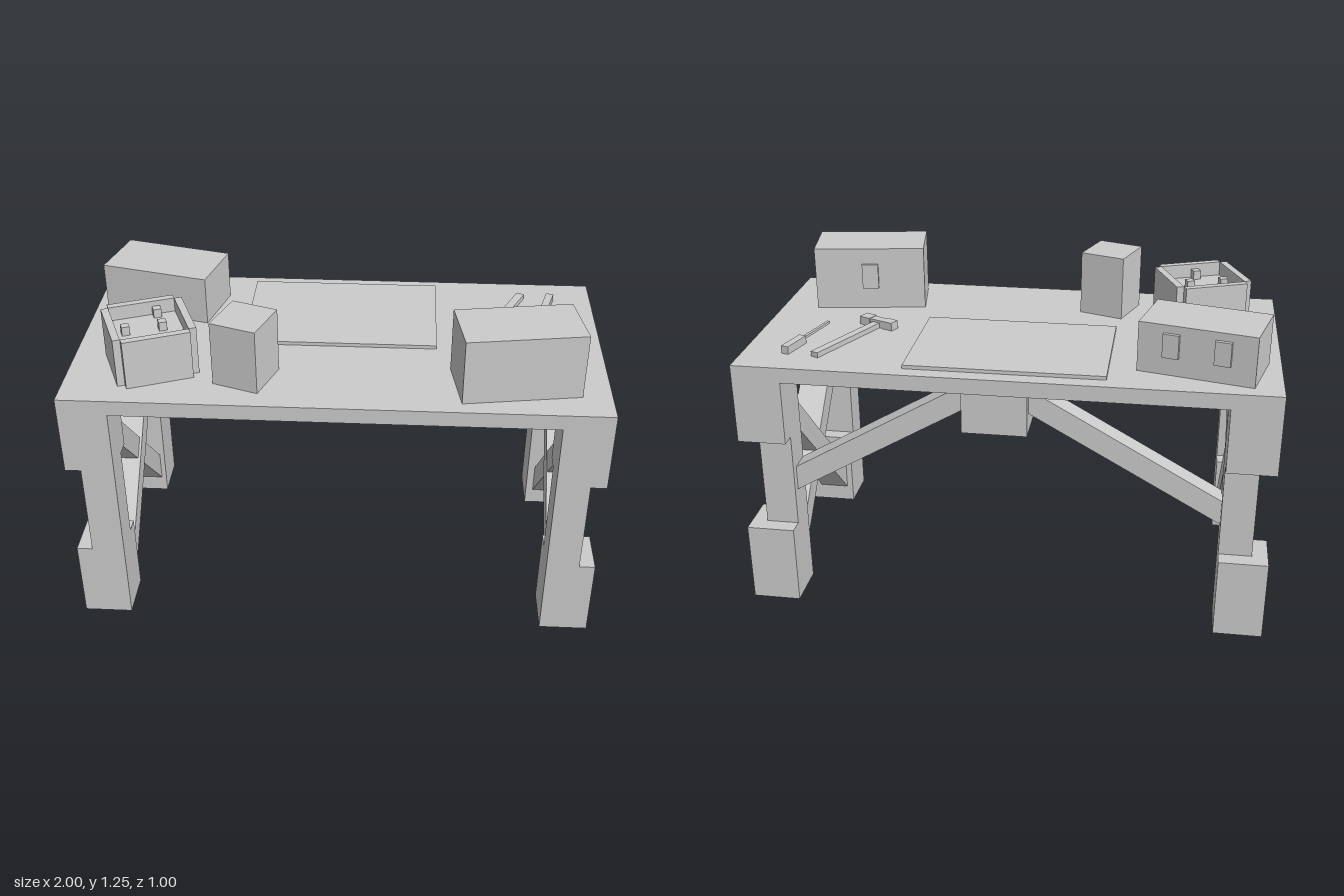
import * as THREE from 'three';

const material = new THREE.MeshStandardMaterial({ color: 0xcccccc, flatShading: true });

// Box given by its centre in x and z, its bottom y and its size
function block(parent, name, [w, h, d], [x, bottom, z]) {
  const mesh = new THREE.Mesh(new THREE.BoxGeometry(w, h, d), material);
  mesh.name = name;
  mesh.position.set(x, bottom + h / 2, z);
  parent.add(mesh);
  return mesh;
}

// Straight timber between two points; width is horizontal, thickness across it
function beam(parent, name, from, to, width, thickness) {
  const a = new THREE.Vector3(...from), b = new THREE.Vector3(...to);
  const mesh = new THREE.Mesh(new THREE.BoxGeometry(width, thickness, a.distanceTo(b)), material);
  mesh.name = name;
  mesh.position.copy(a).add(b).multiplyScalar(0.5);
  mesh.lookAt(b);
  parent.add(mesh);
}

// Group standing on the table top, turned about y
function onTable(parent, name, x, z, angle) {
  const group = new THREE.Group();
  group.name = name;
  group.position.set(x, 1, z);
  group.rotation.y = angle;
  parent.add(group);
  return group;
}

export function createModel() {
  const model = new THREE.Group();
  model.name = 'workbench';

  block(model, 'tableTop', [2, 0.06, 1], [0, 0.94, 0]);

  // Legs: full blocks at foot and head, notched in between
  for (const side of [1, -1]) {
    for (const end of [1, -1]) {
      const leg = new THREE.Group();
      leg.name = (end > 0 ? 'front' : 'back') + (side > 0 ? 'Left' : 'Right') + 'Leg';
      const x = side * 0.9075, z = end * 0.4075;
      block(leg, 'foot', [0.185, 0.315, 0.185], [x, 0, z]);
      block(leg, 'waist', [0.125, 0.375, 0.124], [side * 0.8775, 0.315, end > 0 ? 0.438 : -0.376]);
      block(leg, 'head', [0.185, 0.25, 0.185], [x, 0.69, z]);
      model.add(leg);
    }
  }

  // Crossed braces between front and back legs
  for (const [side, xa, xb] of [['left', 0.905, 0.9], ['right', -0.895, -0.885]]) {
    beam(model, side + 'BraceFrontHigh', [xa, 0.792, 0.355], [xa, 0.09, -0.355], 0.12, 0.088);
    beam(model, side + 'BraceBackHigh', [xb, 0.09, 0.355], [xb, 0.792, -0.355], 0.12, 0.088);
  }

  // Block under the top with two struts to the back legs
  block(model, 'underBlock', [0.245, 0.185, 0.19], [0.0325, 0.755, -0.345]);
  beam(model, 'leftStrut', [0.11, 0.908, -0.36], [0.86, 0.471, -0.36], 0.09, 0.085);
  beam(model, 'rightStrut', [-0.05, 0.905, -0.36], [-0.86, 0.447, -0.36], 0.09, 0.085);

  // Flat sheet
  block(model, 'sheet', [0.745, 0.014, 0.5], [-0.0025, 1, -0.19]);

  // Boxes with latches on their back
  const chest = onTable(model, 'largeBox', 0.656, 0.289, 0.155);
  block(chest, 'body', [0.44, 0.25, 0.242], [0, 0, 0]);
  block(chest, 'latch', [0.065, 0.1, 0.03], [-0.002, 0.087, -0.121]);

  const lowBox = onTable(model, 'lowBox', -0.715, -0.2675, -0.245);
  block(lowBox, 'body', [0.433, 0.19, 0.247], [0, 0, 0]);
  for (const x of [-0.097, 0.092]) block(lowBox, 'latch', [0.06, 0.09, 0.03], [x, 0.07, -0.1235]);

  const cube = onTable(model, 'smallBox', -0.333, 0.298, -0.34);
  block(cube, 'body', [0.18, 0.25, 0.187], [0, 0, 0]);

  // Crate: filled core, four raised side panels, small pieces inside
  const crate = onTable(model, 'crate', -0.6975, 0.2225, 0.384);
  block(crate, 'core', [0.25, 0.135, 0.25], [0, 0, 0]);
  for (const s of [1, -1]) {
    block(crate, 'sidePanel', [0.028, 0.19, 0.25], [s * 0.139, 0, 0]);
    block(crate, 'endPanel', [0.25, 0.19, 0.028], [0, 0, s * 0.139]);
  }
  for (const [x, z] of [[0.053, -0.108], [0.052, -0.003], [-0.085, -0.01], [-0.017, 0.108]]) {
    block(crate, 'piece', [0.03, 0.035, 0.03], [x, 0.135, z]);
  }

  // Hammer
  const hammer = onTable(model, 'hammer', 0.557, -0.03, -0.43);
  block(hammer, 'handle', [0.032, 0.02, 0.385], [0, 0, -0.19]);
  block(hammer, 'headBar', [0.13, 0.03, 0.034], [0, 0, 0]);
  block(hammer, 'peen', [0.05, 0.032, 0.04], [-0.053, 0, 0]);
  block(hammer, 'face', [0.048, 0.032, 0.046], [0.053, 0, 0]);

  // Screwdriver
  const driver = onTable(model, 'screwdriver', 0.818, -0.303, -0.265);
  block(driver, 'handle', [0.03, 0.03, 0.125], [0, 0, 0]);
  block(driver, 'shaft', [0.012, 0.01, 0.19], [0, 0.012, 0.155]);

  return model;
}
